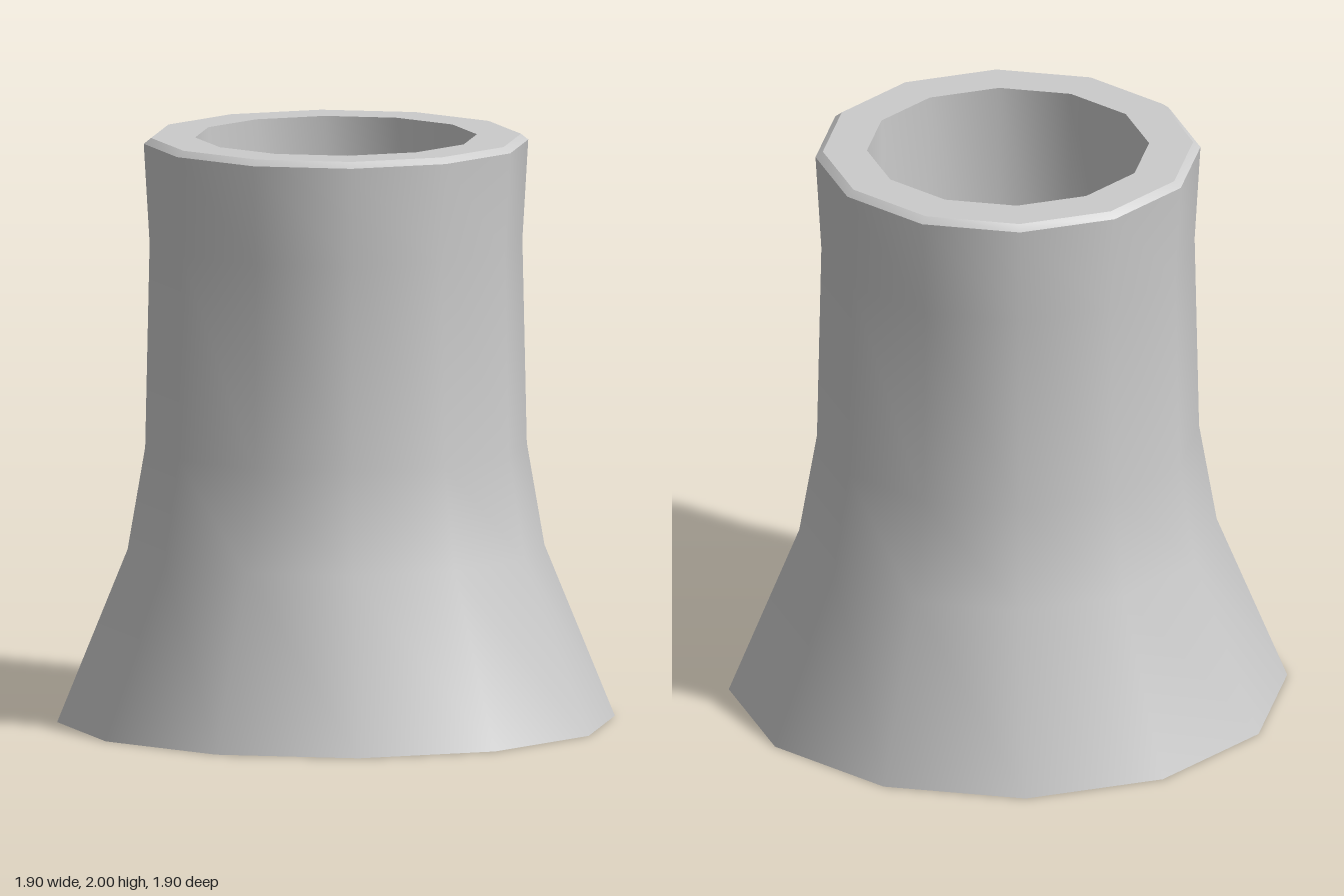
import * as THREE from 'three';
import { toCreasedNormals } from 'three/addons/utils/BufferGeometryUtils.js';

const SIDES = 12;

// Turned shape: smooth around the sides, sharp at the rims
function turned(name, profile) {
  const points = profile.map(([r, y]) => new THREE.Vector2(r, y));
  const geometry = toCreasedNormals(new THREE.LatheGeometry(points, SIDES), 0.62);
  const mesh = new THREE.Mesh(geometry, new THREE.MeshStandardMaterial({ color: 0xcccccc }));
  mesh.name = name;
  return mesh;
}

export function createModel() {
  const group = new THREE.Group();
  group.name = 'coolingTower';

  // Closed base and flared outer wall, up to the chamfered lip
  group.add(turned('towerShell', [
    [0, 0], [0.95, 0], [0.71, 0.59], [0.65, 0.94], [0.635, 1.64], [0.655, 1.98], [0.63, 2],
  ]));

  // Flat rim
  group.add(turned('rim', [[0.63, 2], [0.48, 2]]));

  // Slightly tapered well with a flat floor
  group.add(turned('innerWell', [[0.48, 2], [0.47, 1], [0, 1]]));

  return group;
}
